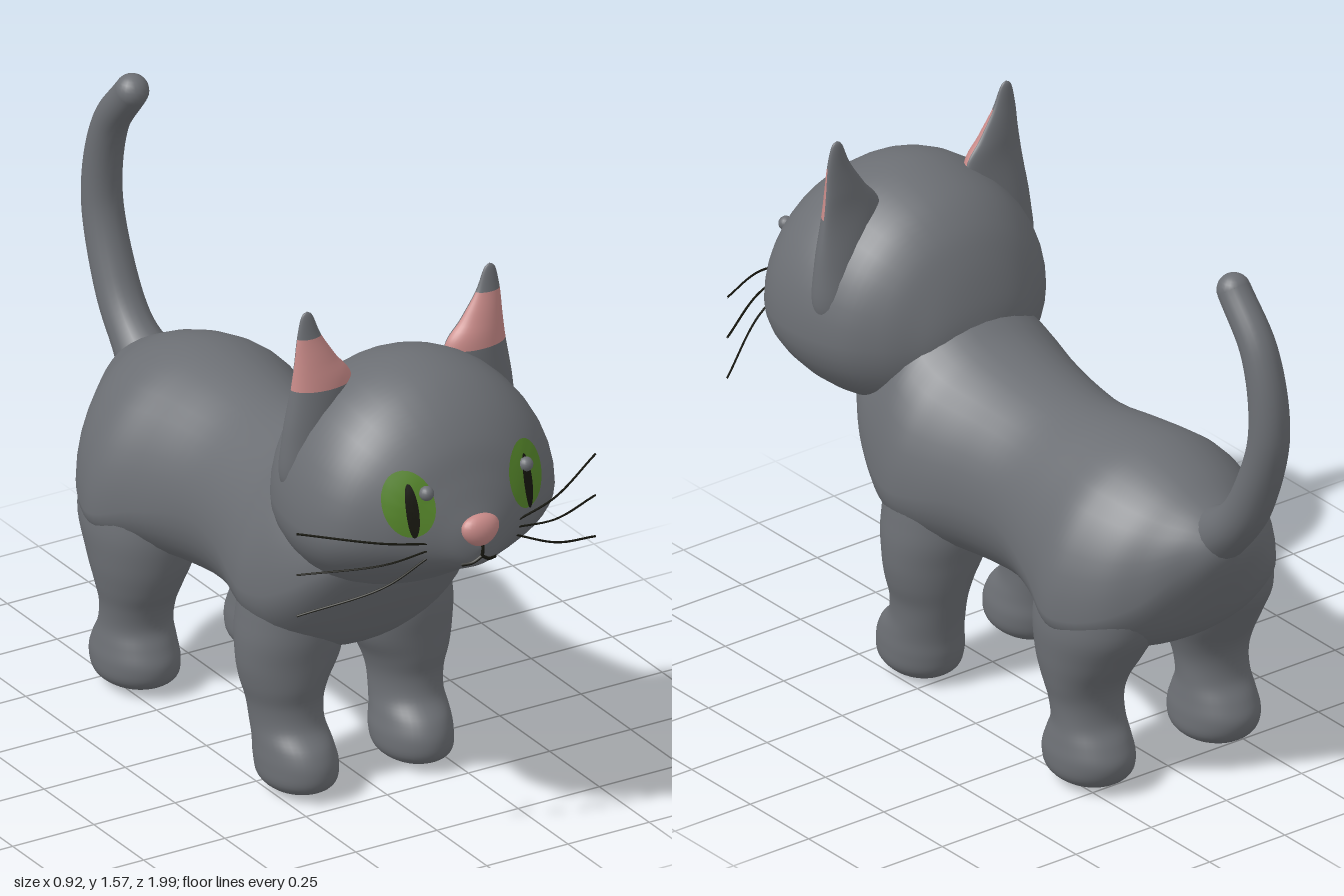
import * as THREE from 'three';
import { mergeVertices } from 'three/addons/utils/BufferGeometryUtils.js';

const paint = (name, color) => {
  const m = new THREE.MeshStandardMaterial({ color });
  m.name = name;
  return m;
};

// Smooth skin through elliptical sections along 'z' or 'y'.
// Row: [position, x centre, half width, second-axis centre, max, min]
function loft(axis, rows, isAccent = () => false) {
  const SIDES = 40, STEPS = 5;
  const spline = (k) => new THREE.CatmullRomCurve3(
    rows.map((r) => new THREE.Vector3(r[k], r[k + 1], r[k + 2])), false, 'catmullrom', 0.5);
  const first = spline(0), second = spline(3);
  const n = (rows.length - 1) * STEPS;
  const pos = [], plain = [], accent = [], along = [];
  for (let i = 0; i <= n; i++) {
    const { x: s, y: c, z: w } = first.getPoint(i / n);
    const { x: mid, y: max, z: min } = second.getPoint(i / n);
    along.push(s);
    for (let j = 0; j < SIDES; j++) {
      const a = (j / SIDES) * Math.PI * 2, sin = Math.sin(a);
      const u = c + Math.max(w, 0) * Math.cos(a);
      const v = mid + sin * Math.max(0, sin > 0 ? max - mid : mid - min);
      if (axis === 'z') pos.push(u, v, s); else pos.push(u, s, v);
    }
  }
  for (let i = 0; i < n; i++) for (let j = 0; j < SIDES; j++) {
    const k = (j + 1) % SIDES;
    const a = i * SIDES + j, b = i * SIDES + k, c = a + SIDES, d = b + SIDES;
    const list = isAccent((along[i] + along[i + 1]) / 2, j < SIDES / 2) ? accent : plain;
    if (axis === 'z') list.push(a, b, c, b, d, c); else list.push(a, c, b, b, c, d);
  }
  let g = new THREE.BufferGeometry();
  g.setAttribute('position', new THREE.Float32BufferAttribute(pos, 3));
  g.setIndex([...plain, ...accent]);
  g = mergeVertices(g, 1e-5);
  g.computeVertexNormals();
  if (accent.length) {
    g.addGroup(0, plain.length, 0);
    g.addGroup(plain.length, accent.length, 1);
  }
  return g;
}

export function createModel() {
  const cat = new THREE.Group();
  cat.name = 'cat';
  const fur = paint('grey fur', 0x6c6f74);
  const pink = paint('pink skin', 0xc88a88);
  const green = paint('green iris', 0x55852a);
  const black = paint('black', 0x17170f);
  const add = (name, geometry, material) => {
    const m = new THREE.Mesh(geometry, material);
    m.name = name;
    cat.add(m);
    return m;
  };
  const V = (x, y, z) => new THREE.Vector3(x, y, z);

  // Torso from rump to chest
  add('body', loft('z', [
    [-0.785, 0, 0, 0.74, 0.74, 0.74],
    [-0.765, 0, 0.07, 0.73, 0.79, 0.67],
    [-0.72, 0, 0.14, 0.69, 0.83, 0.575],
    [-0.66, 0, 0.22, 0.61, 0.865, 0.48],
    [-0.59, 0, 0.29, 0.56, 0.90, 0.42],
    [-0.5, 0, 0.335, 0.53, 0.93, 0.39],
    [-0.41, 0, 0.35, 0.53, 0.942, 0.38],
    [-0.28, 0, 0.305, 0.58, 0.935, 0.385],
    [-0.1, 0, 0.262, 0.63, 0.915, 0.385],
    [0.06, 0, 0.272, 0.63, 0.93, 0.385],
    [0.2, 0, 0.305, 0.60, 0.96, 0.385],
    [0.28, 0, 0.32, 0.59, 0.995, 0.385],
    [0.36, 0, 0.307, 0.60, 1.04, 0.39],
    [0.44, 0, 0.28, 0.64, 1.0, 0.45],
    [0.52, 0, 0.24, 0.70, 0.95, 0.55],
    [0.59, 0, 0.17, 0.76, 0.88, 0.66],
    [0.63, 0, 0, 0.77, 0.77, 0.77],
  ]), fur);

  // Head, with the muzzle drawn forward
  const head = add('head', loft('z', [
    [0.27, 0, 0, 0.95, 0.95, 0.95],
    [0.29, 0, 0.13, 0.95, 1.045, 0.84],
    [0.33, 0, 0.21, 0.95, 1.15, 0.78],
    [0.385, 0, 0.28, 0.95, 1.235, 0.73],
    [0.47, 0, 0.34, 0.945, 1.30, 0.70],
    [0.6, 0, 0.37, 0.94, 1.338, 0.69],
    [0.72, 0, 0.365, 0.94, 1.32, 0.725],
    [0.81, 0, 0.325, 0.95, 1.265, 0.78],
    [0.88, 0, 0.245, 0.96, 1.185, 0.82],
    [0.92, 0, 0.17, 0.955, 1.10, 0.84],
    [0.945, 0, 0.115, 0.945, 1.04, 0.853],
    [0.967, 0, 0.06, 0.93, 0.985, 0.872],
    [0.98, 0, 0, 0.92, 0.92, 0.92],
  ]), fur);

  // Lays points on the front of the head
  head.updateMatrixWorld();
  const ray = new THREE.Raycaster();
  const faceZ = (x, y) => {
    ray.set(V(x, y, 2), V(0, 0, -1));
    const hit = ray.intersectObject(head)[0];
    return hit ? hit.point.z : 0.85;
  };
  const onFace = (x, y, lift = 0) => V(x, y, faceZ(x, y) + lift);
  const facePlate = (x, y, w, h, lift) => {
    const g = new THREE.RingGeometry(0, 1, 32, 6).scale(w, h, 1).translate(x, y, 0);
    const p = g.attributes.position;
    for (let i = 0; i < p.count; i++) p.setZ(i, faceZ(p.getX(i), p.getY(i)) + lift);
    g.computeVertexNormals();
    return g;
  };
  const cord = (points, radius) =>
    new THREE.TubeGeometry(new THREE.CatmullRomCurve3(points), 16, radius, 6);

  // Paired parts; side +1 is the model's left
  for (const side of [1, -1]) {
    const label = side > 0 ? 'left' : 'right';
    const mirrored = (rows) => rows.map(([s, c, ...rest]) => [s, c * side, ...rest]);

    add(label + 'FrontLeg', loft('y', mirrored([
      [0, 0.18, 0, 0.33, 0.33, 0.33],
      [0.008, 0.18, 0.055, 0.33, 0.40, 0.265],
      [0.04, 0.178, 0.096, 0.33, 0.46, 0.215],
      [0.09, 0.177, 0.104, 0.32, 0.47, 0.20],
      [0.14, 0.18, 0.1, 0.31, 0.45, 0.197],
      [0.19, 0.183, 0.097, 0.29, 0.405, 0.19],
      [0.25, 0.185, 0.102, 0.285, 0.392, 0.178],
      [0.31, 0.184, 0.12, 0.28, 0.402, 0.165],
      [0.38, 0.172, 0.143, 0.28, 0.41, 0.152],
      [0.48, 0.165, 0.148, 0.28, 0.42, 0.14],
      [0.62, 0.15, 0.13, 0.28, 0.40, 0.17],
      [0.72, 0.14, 0, 0.28, 0.28, 0.28],
    ])), fur);

    add(label + 'HindLeg', loft('y', mirrored([
      [0, 0.205, 0, -0.43, -0.43, -0.43],
      [0.008, 0.205, 0.06, -0.43, -0.36, -0.50],
      [0.04, 0.206, 0.105, -0.43, -0.30, -0.552],
      [0.09, 0.208, 0.112, -0.43, -0.287, -0.57],
      [0.14, 0.208, 0.106, -0.43, -0.305, -0.55],
      [0.19, 0.207, 0.1, -0.43, -0.325, -0.518],
      [0.25, 0.207, 0.103, -0.42, -0.315, -0.51],
      [0.31, 0.205, 0.118, -0.42, -0.288, -0.525],
      [0.39, 0.196, 0.14, -0.42, -0.262, -0.575],
      [0.5, 0.185, 0.155, -0.43, -0.25, -0.635],
      [0.63, 0.16, 0.14, -0.43, -0.28, -0.63],
      [0.74, 0.14, 0, -0.43, -0.43, -0.43],
    ])), fur);

    // Flat pointed ear with a pink front
    add(label + 'Ear', loft('y', mirrored([
      [0.93, 0.29, 0, 0.55, 0.55, 0.55],
      [1.02, 0.278, 0.075, 0.55, 0.605, 0.49],
      [1.15, 0.257, 0.093, 0.55, 0.608, 0.50],
      [1.285, 0.236, 0.092, 0.55, 0.603, 0.525],
      [1.36, 0.256, 0.062, 0.553, 0.59, 0.533],
      [1.43, 0.275, 0.036, 0.555, 0.574, 0.541],
      [1.49, 0.281, 0.017, 0.555, 0.563, 0.547],
      [1.505, 0.281, 0, 0.555, 0.555, 0.555],
    ]), (y, front) => front && y > 1.285 && y < 1.43), [fur, pink]);

    // Eye with slit pupil and glint
    add(label + 'Iris', facePlate(0.18 * side, 1.058, 0.065, 0.087, 0.008), green);
    add(label + 'Pupil', facePlate(0.178 * side, 1.043, 0.016, 0.072, 0.014), black);
    const glint = add(label + 'Glint', new THREE.SphereGeometry(0.02, 16, 12), fur);
    glint.position.copy(onFace(side > 0 ? 0.18 : -0.135, 1.087, 0.012));

    // Whiskers, bent back at the tips
    for (const [y0, y1] of [[0.945, 1.0], [0.925, 0.88], [0.9, 0.76]]) {
      add(label + 'Whisker', cord([
        onFace(0.135 * side, y0, -0.005),
        V(0.26 * side, y0 + (y1 - y0) * 0.42, 0.91),
        V(0.46 * side, y1, 0.795),
      ], 0.003), black);
    }

    // Half of the mouth curve
    add(label + 'Mouth', cord([
      onFace(0, 0.895, 0.002), onFace(0.025 * side, 0.879, 0.002), onFace(0.052 * side, 0.874, 0.002),
    ], 0.005), black);
  }

  add('mouthLine', cord([onFace(0, 0.94, 0.002), onFace(0, 0.915, 0.002), onFace(0, 0.893, 0.002)], 0.005), black);

  // Nose, narrower at the bottom
  const nose = new THREE.SphereGeometry(1, 24, 16);
  const np = nose.attributes.position;
  for (let i = 0; i < np.count; i++) np.setX(i, np.getX(i) * (1 + 0.2 * np.getY(i)));
  nose.scale(0.055, 0.045, 0.033).translate(0, 0.967, 0.966);
  nose.computeVertexNormals();
  add('nose', nose, pink);

  // Tapered tail with a round tip
  const path = new THREE.CatmullRomCurve3([
    [0.70, -0.56], [0.765, -0.70], [0.845, -0.80], [0.95, -0.868],
    [1.16, -0.933], [1.38, -0.893], [1.525, -0.782],
  ].map(([y, z]) => V(0, y, z)));
  const RINGS = 48, AROUND = 20;
  const tail = new THREE.TubeGeometry(path, RINGS, 1, AROUND);
  const tp = tail.attributes.position;
  for (let i = 0; i <= RINGS; i++) {
    const u = i / RINGS, centre = path.getPointAt(u);
    const r = 0.046 + 0.024 * (1 - u) + 0.09 * Math.max(0, 1 - u / 0.28) ** 2;
    for (let j = 0; j <= AROUND; j++) {
      const k = i * (AROUND + 1) + j;
      const p = V(0, 0, 0).fromBufferAttribute(tp, k).sub(centre).multiplyScalar(r).add(centre);
      tp.setXYZ(k, p.x, p.y, p.z);
    }
  }
  add('tail', tail, fur);
  add('tailTip', new THREE.SphereGeometry(0.046, 20, 14), fur).position.copy(path.getPointAt(1));

  return cat;
}
